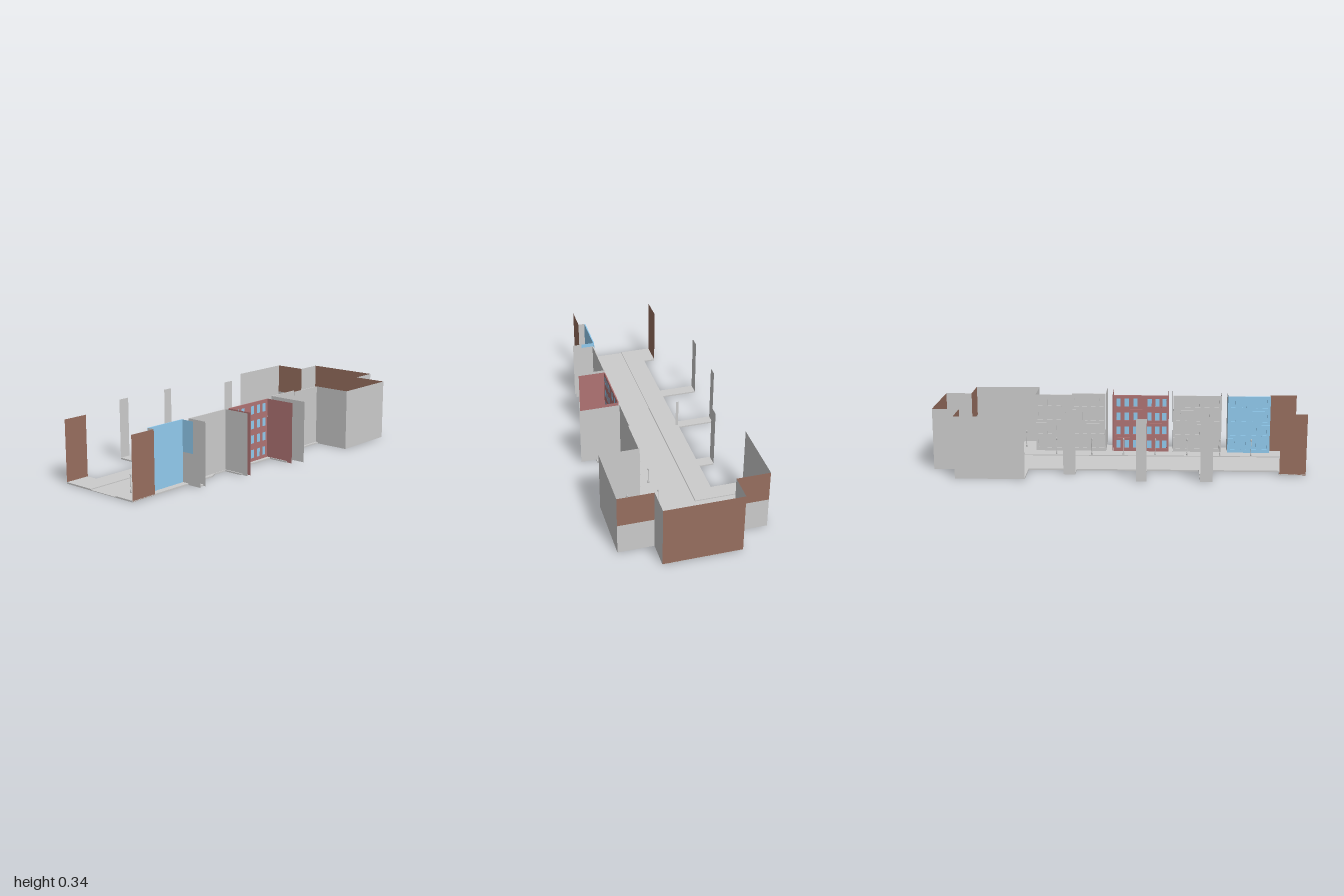
import * as THREE from 'three';

const material = (color) => new THREE.MeshStandardMaterial({ color, side: THREE.DoubleSide });
const grey = material(0xcccccc), brown = material(0x986f5f), blue = material(0x92ccf0), red = material(0xb07474);
const H = 0.335, WALK = 0.008;

export function createModel() {
  const model = new THREE.Group();

  function add(name, geometry, mat, x = 0, y = 0, z = 0, parent = model) {
    const mesh = new THREE.Mesh(geometry, mat);
    mesh.name = name;
    mesh.position.set(x, y, z);
    parent.add(mesh);
    return mesh;
  }

  // Upright sheet between two ground points
  function wall(name, [x1, z1], [x2, z2], mat = grey, y1 = 0, y2 = H) {
    const sheet = new THREE.PlaneGeometry(Math.hypot(x2 - x1, z2 - z1), y2 - y1);
    const mesh = add(name, sheet, mat, (x1 + x2) / 2, (y1 + y2) / 2, (z1 + z2) / 2);
    mesh.rotation.y = -Math.atan2(z2 - z1, x2 - x1);
  }

  // Flat slab from an outline of [x, z] points
  function slab(name, points, top) {
    const shape = new THREE.Shape(points.map(([x, z]) => new THREE.Vector2(x, -z)));
    const geometry = new THREE.ExtrudeGeometry(shape, { depth: top, bevelEnabled: false });
    geometry.rotateX(-Math.PI / 2);
    add(name, geometry, grey);
  }

  // Roadway with a crossing at the back
  slab('road', [[-0.095, 1], [-0.095, -0.575], [-0.39, -0.575], [-0.39, -0.855], [-0.21, -0.855], [-0.21, -1],
    [0.205, -1], [0.205, -0.855], [0.395, -0.855], [0.395, -0.575], [0.085, -0.575], [0.085, 1]], 0.003);

  // Left pavement with its side alleys
  slab('leftPavement', [[-0.095, 1], [-0.275, 1], [-0.275, 0.86], [-0.21, 0.86],
    [-0.21, 0.5], [-0.41, 0.5], [-0.41, 0.435], [-0.21, 0.435],
    [-0.21, 0.155], [-0.41, 0.155], [-0.41, 0.1], [-0.21, 0.1],
    [-0.21, -0.225], [-0.29, -0.225], [-0.29, -0.29], [-0.21, -0.29],
    [-0.21, -0.485], [-0.39, -0.485], [-0.39, -0.575], [-0.095, -0.575]], WALK);

  // Right pavement with its side alleys
  slab('rightPavement', [[0.085, 1], [0.205, 1], [0.205, 0.61], [0.275, 0.61], [0.275, 0.57], [0.205, 0.57],
    [0.205, 0.43], [0.185, 0.39], [0.185, 0.305], [0.295, 0.305], [0.295, 0.265], [0.185, 0.265],
    [0.185, 0.125], [0.205, 0.1], [0.205, -0.04], [0.32, -0.04], [0.32, -0.1], [0.185, -0.1],
    [0.2, -0.3], [0.2, -0.485], [0.395, -0.485], [0.395, -0.575], [0.085, -0.575]], WALK);

  // Walls closing the crossing
  wall('backWall', [-0.21, -1], [0.205, -1], brown);
  for (const [inner, outer] of [[-0.21, -0.39], [0.205, 0.395]]) {
    wall('backSideWall', [inner, -1], [inner, -0.855]);
    wall('crossingWallLower', [inner, -0.855], [outer, -0.855], grey, 0, H / 2);
    wall('crossingWallUpper', [inner, -0.855], [outer, -0.855], brown, H / 2, H);
    wall('crossingEndWall', [outer, -0.855], [outer, -0.485]);
  }
  wall('crossingFrontWall', [0.18, -0.485], [0.395, -0.485]);

  // Ends of the left alleys
  wall('frontLeftWall', [-0.275, 0.86], [-0.275, 1], brown);
  wall('alleyEnd', [-0.41, 0.435], [-0.41, 0.5]);
  wall('alleyEnd', [-0.41, 0.1], [-0.41, 0.155]);
  wall('alleyEnd', [-0.29, -0.29], [-0.29, -0.225]);
  wall('alleyCorner', [-0.21, 0.12], [-0.195, 0.12], grey, 0, H / 2);

  // Facade facing the street: pierced sheet, panes set behind it, floor bands
  function facade(name, x, zFront, zBack, columns, mat, paneMat, top = H) {
    const group = new THREE.Group();
    group.name = name;
    model.add(group);
    const length = zFront - zBack, depth = 0.006, w = 0.025, h = 0.046;
    const shape = new THREE.Shape();
    shape.moveTo(0, 0).lineTo(length, 0).lineTo(length, top).lineTo(0, top).closePath();
    for (const z of columns) {
      for (let row = 0; row < 4; row++) {
        const a = zFront - z - w / 2, b = 0.027 + row * 0.081;
        const hole = new THREE.Path();
        hole.moveTo(a, b).lineTo(a, b + h).lineTo(a + w, b + h).lineTo(a + w, b).closePath();
        shape.holes.push(hole);
        add('windowPane', new THREE.PlaneGeometry(w, h).rotateY(Math.PI / 2), paneMat,
          x + depth, b + h / 2, z, group);
        add('windowSill', new THREE.BoxGeometry(0.005, 0.004, w + 0.006), mat, x - 0.002, b - 0.002, z, group);
      }
    }
    const sheet = new THREE.ExtrudeGeometry(shape, { depth, bevelEnabled: false });
    sheet.rotateY(Math.PI / 2);
    add('facadeWall', sheet, mat, x, 0, zFront, group);
    for (let floor = 1; floor < 4; floor++) {
      add('floorBand', new THREE.BoxGeometry(0.003, 0.004, length), mat, x - 0.001, floor * 0.081 + 0.007,
        (zFront + zBack) / 2, group);
    }
  }
  const spread = (from, to, n) => Array.from({ length: n }, (_, i) => from + (to - from) * (i + 0.5) / n);

  facade('blueFacade', 0.163, 0.85, 0.61, spread(0.85, 0.61, 4), blue, blue);
  facade('middleFacade', 0.175, 0.575, 0.3, spread(0.575, 0.3, 5), grey, grey);
  facade('redFacade', 0.178, 0.275, -0.04, [0.25, 0.21, 0.165, 0.085, 0.035, -0.012], red, blue);
  facade('rearFacade', 0.178, -0.085, -0.275, spread(-0.085, -0.275, 4), grey, grey, 0.343);
  facade('farFacade', 0.18, -0.275, -0.485, spread(-0.275, -0.485, 4), grey, grey);

  // Front right wall and the return to the blue facade
  wall('frontRightWall', [0.205, 0.85], [0.205, 1], brown);
  wall('facadeReturn', [0.165, 0.85], [0.205, 0.85]);

  // Side walls of the right alleys
  wall('blueSideLower', [0.165, 0.612], [0.24, 0.612], grey, 0, H / 2);
  wall('blueSideUpper', [0.165, 0.612], [0.24, 0.612], blue, H / 2, H);
  wall('blueSideRear', [0.24, 0.612], [0.29, 0.612]);
  wall('middleSideFront', [0.178, 0.575], [0.29, 0.575]);
  wall('middleSideRear', [0.178, 0.298], [0.33, 0.298]);
  wall('redSideFront', [0.18, 0.275], [0.33, 0.275], red);
  wall('redSideRear', [0.18, -0.045], [0.353, -0.045], red);
  wall('rearSide', [0.18, -0.083], [0.405, -0.083], grey, WALK, 0.343);

  // Street lamps
  const lampProfile = [[0, 0], [0.005, 0], [0.005, 0.008], [0.003, 0.018], [0.0013, 0.022], [0.0011, 0.082],
    [0.003, 0.086], [0.005, 0.095], [0.003, 0.098], [0, 0.1]].map(([r, y]) => new THREE.Vector2(r, y));
  const lamp = new THREE.LatheGeometry(lampProfile, 8);
  for (const z of [-0.55, -0.36, -0.16, 0.02, 0.2, 0.38, 0.565, 0.74, 0.91]) {
    add('streetLamp', lamp, grey, 0.1, WALK - 0.003, z);
  }
  add('streetLamp', lamp, grey, 0.265, WALK - 0.003, -0.55);

  return model;
}
